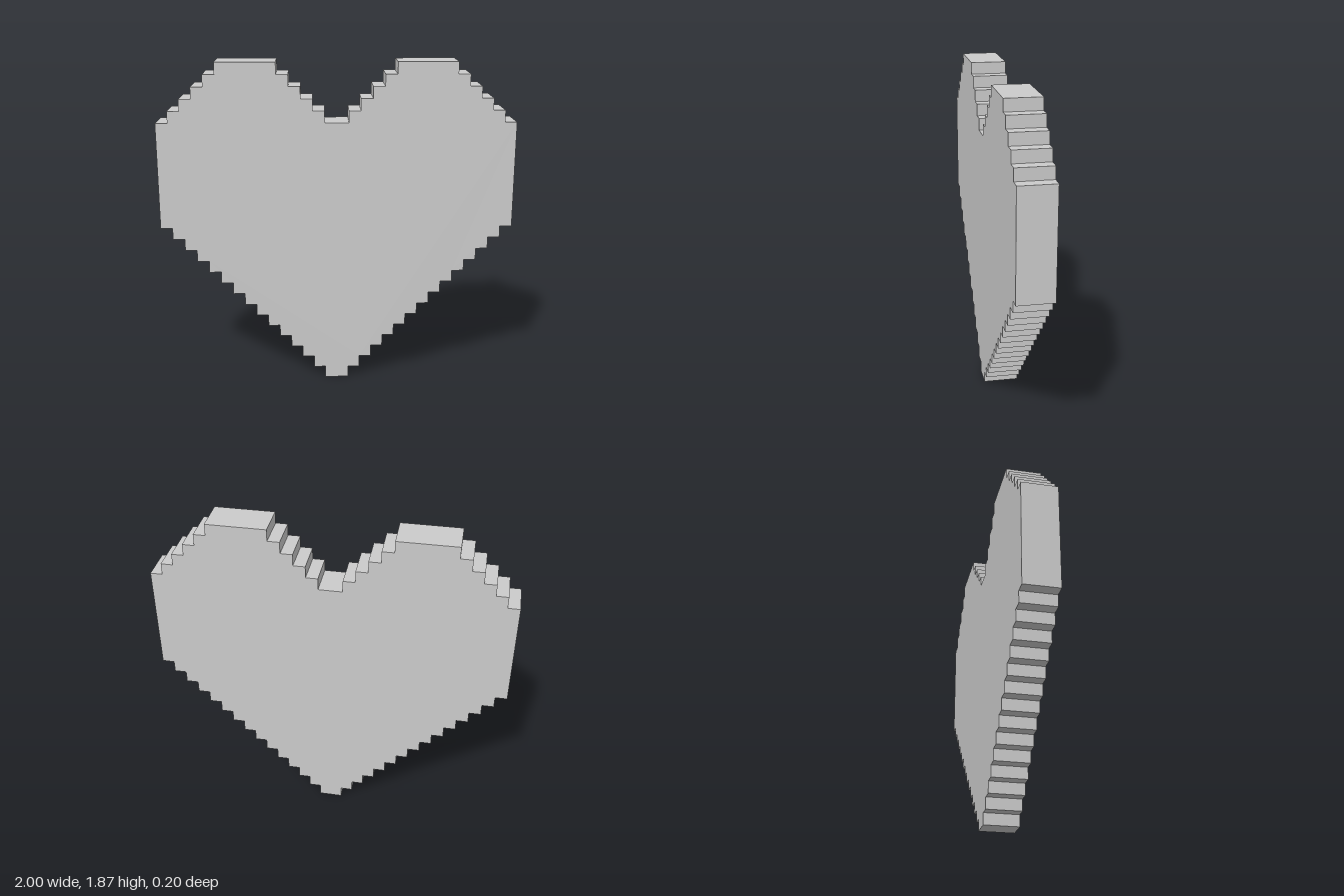
import * as THREE from 'three';

const U = 1 / 15; // size of one pixel step
const DEPTH = 3 * U;

// Right half of the stepped outline, counter-clockwise from the tip, in pixel steps
function halfOutline() {
  const pts = [];
  // lower staircase from the tip out to the side
  for (let i = 1; i <= 14; i++) pts.push([i, i - 1], [i, i]);
  pts.push([15, 14]);
  // outer shoulder of the lobe
  for (let i = 0; i < 5; i++) pts.push([15 - i, 23 + i], [14 - i, 23 + i]);
  // flat lobe top, then down into the notch
  pts.push([10, 28]);
  for (let i = 0; i < 5; i++) pts.push([5 - i, 28 - i], [5 - i, 27 - i]);
  return pts;
}

export function createModel() {
  const group = new THREE.Group();
  group.name = 'pixelHeart';

  // Mirror the half to close the outline
  const right = halfOutline();
  const left = right.map(([x, y]) => [-x, y]).reverse();
  const outline = [...right, ...left].map(([x, y]) => new THREE.Vector2(x * U, y * U));

  // Solid slab, centred on z
  const geometry = new THREE.ExtrudeGeometry(new THREE.Shape(outline), {
    depth: DEPTH,
    bevelEnabled: false,
  });
  geometry.translate(0, 0, -DEPTH / 2);

  const heart = new THREE.Mesh(
    geometry,
    new THREE.MeshStandardMaterial({ color: 0xcccccc, flatShading: true })
  );
  heart.name = 'heartSlab';
  group.add(heart);
  return group;
}
